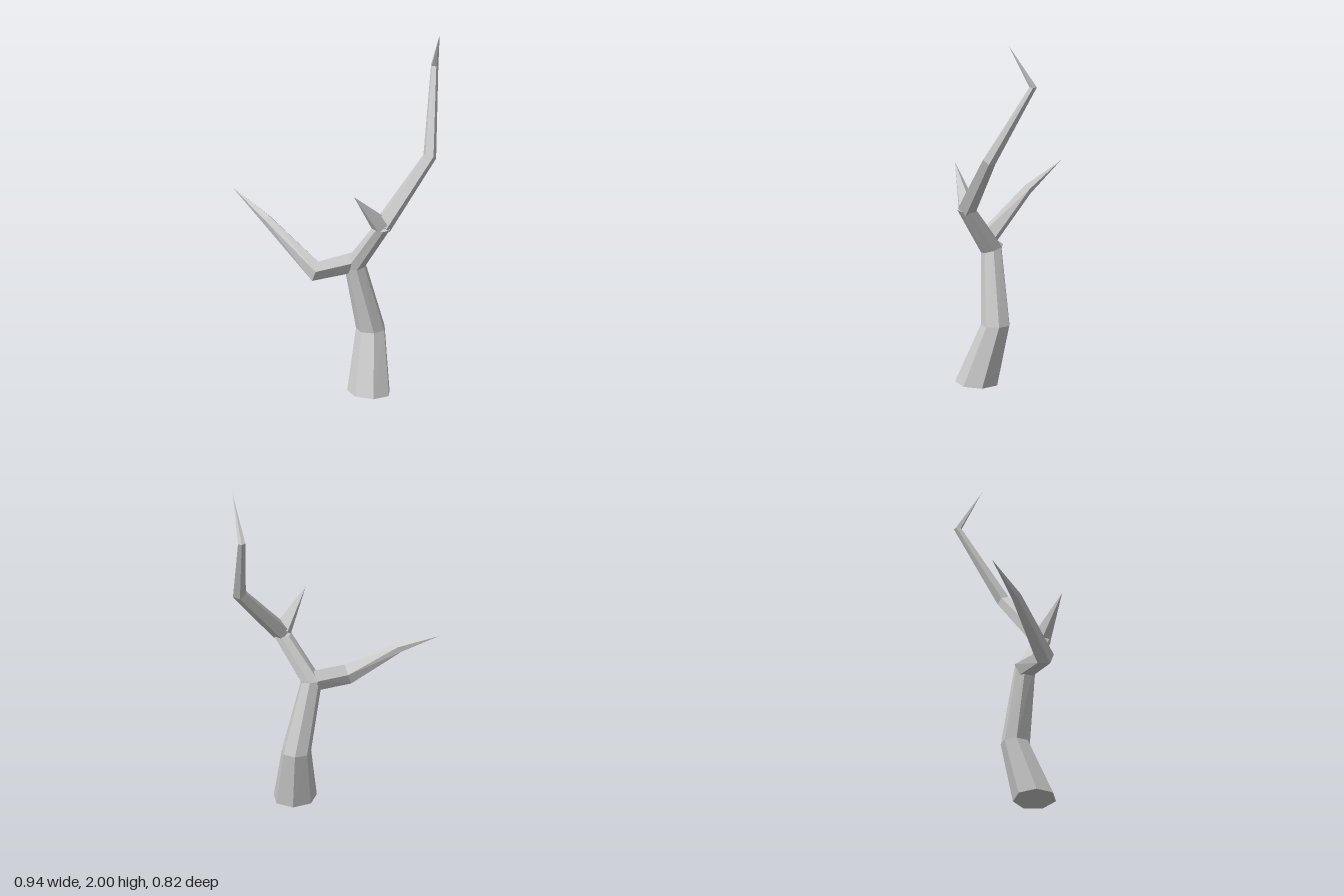
import * as THREE from 'three';

const V = (p) => new THREE.Vector3(...p);

// Skins a limb through rings [center, radius, optional normal]; radius 0 makes a pointed tip.
function limb(name, rings, { sides, ref, phase = 0 }, material) {
  const centers = rings.map((r) => V(r[0]));
  const last = rings.length - 1;
  const pos = [];
  const index = [];

  rings.forEach(([, radius, normal], i) => {
    // Each ring lies in the mitre plane between its two neighbouring segments.
    const n = new THREE.Vector3();
    if (normal) n.copy(V(normal));
    else {
      if (i > 0) n.add(centers[i].clone().sub(centers[i - 1]).normalize());
      if (i < last) n.add(centers[i + 1].clone().sub(centers[i]).normalize());
    }
    n.normalize();
    const u = V(ref).addScaledVector(n, -n.dot(V(ref))).normalize();
    const v = n.clone().cross(u);
    for (let k = 0; k < sides; k++) {
      const a = THREE.MathUtils.degToRad(phase) + (k / sides) * Math.PI * 2;
      const p = centers[i].clone()
        .addScaledVector(u, radius * Math.cos(a))
        .addScaledVector(v, radius * Math.sin(a));
      pos.push(p.x, p.y, p.z);
    }
  });

  // Side walls
  for (let i = 0; i < last; i++) {
    for (let k = 0; k < sides; k++) {
      const a = i * sides + k;
      const b = i * sides + ((k + 1) % sides);
      index.push(a, b, b + sides);
      if (rings[i + 1][1] > 0) index.push(a, b + sides, a + sides);
    }
  }
  // End caps
  for (let k = 1; k < sides - 1; k++) {
    index.push(0, k + 1, k);
    const t = last * sides;
    if (rings[last][1] > 0) index.push(t, t + k, t + k + 1);
  }

  const geometry = new THREE.BufferGeometry();
  geometry.setAttribute('position', new THREE.Float32BufferAttribute(pos, 3));
  geometry.setIndex(index);
  geometry.computeVertexNormals();
  const mesh = new THREE.Mesh(geometry, material);
  mesh.name = name;
  return mesh;
}

export function createModel() {
  const group = new THREE.Group();
  group.name = 'bareTree';
  const bark = new THREE.MeshStandardMaterial({ color: 0xcccccc, flatShading: true });

  // Seven-sided trunk with a flared foot
  group.add(limb('trunk', [
    [[-0.065, 0.01, 0.285], 0.12, [0.07, 1, 0]],
    [[0.005, 0.34, 0.207], 0.081, [0, 1, 0]],
    [[-0.09, 0.735, 0.187], 0.06, [-0.15, 0.95, 0.26]],
    [[-0.04, 0.985, 0.359], 0.052, [0, 1, 0]],
  ], { sides: 7, ref: [1, 0, 0], phase: 90 }, bark));

  // Long crooked branch reaching the top
  group.add(limb('tallBranch', [
    [[-0.035, 0.995, 0.36], 0.052],
    [[0.277, 1.335, 0.375], 0.038],
    [[0.447, 1.767, 0.193], 0.021],
    [[0.39, 2.0, 0.315], 0],
  ], { sides: 5, ref: [0, 0, 1], phase: 278 }, bark));

  // Short spike at the upper fork
  group.add(limb('twig', [
    [[-0.045, 1.005, 0.358], 0.052],
    [[-0.215, 1.21, 0.347], 0],
  ], { sides: 5, ref: [0, 0, 1], phase: 90 }, bark));

  // Side branch that bends to the back
  group.add(limb('sideBranch', [
    [[-0.09, 0.742, 0.178], 0.058],
    [[-0.31, 0.725, 0.122], 0.058],
    [[-0.412, 0.955, -0.178], 0.029],
    [[-0.47, 1.08, -0.41], 0],
  ], { sides: 5, ref: [0, 1, 0] }, bark));

  return group;
}
